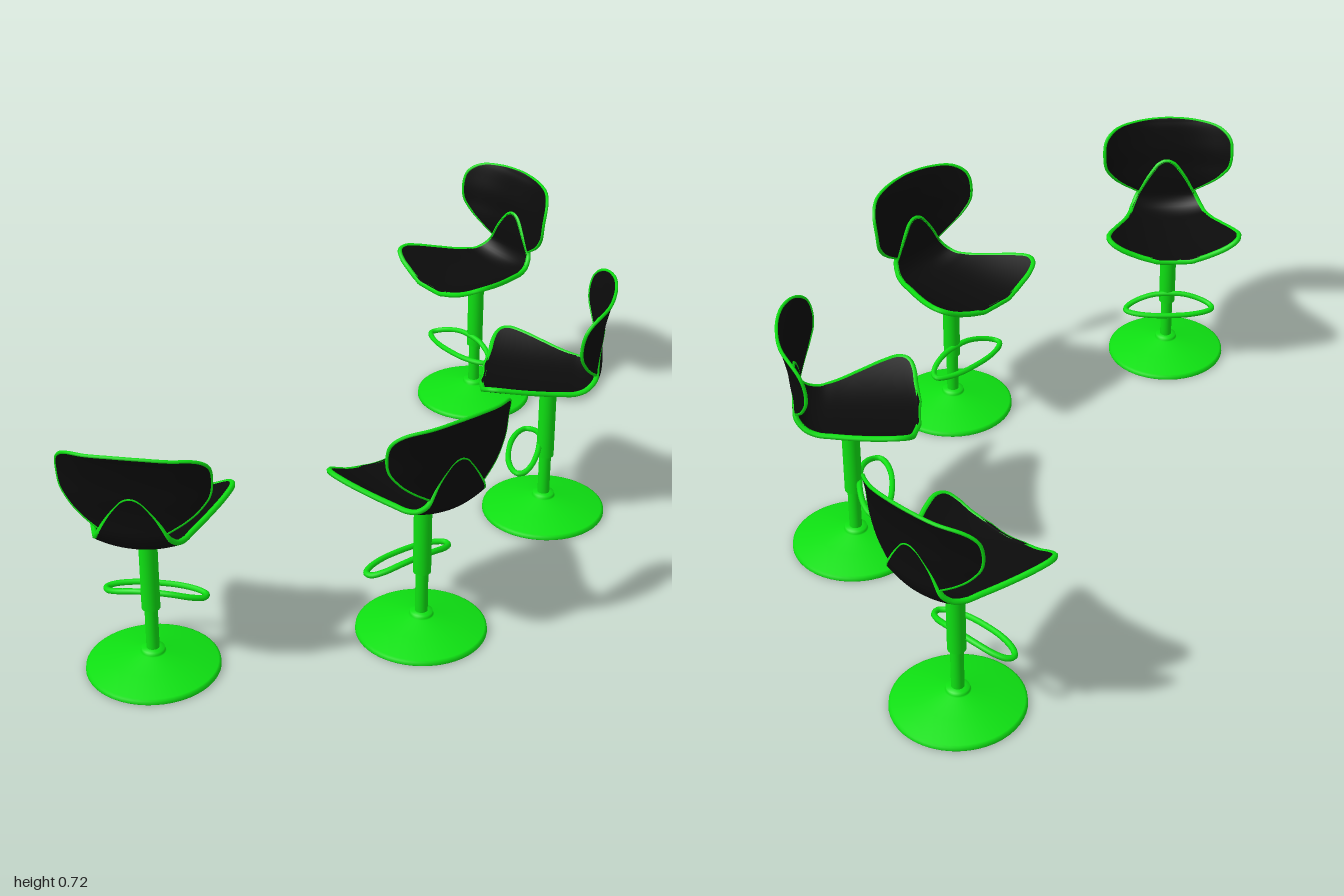
import * as THREE from 'three';

const V = (x, y, z) => new THREE.Vector3(x, y, z);

// Thin curved shell. rows: [z, y, half width] along its spine; lift(x, y) bends the sides along the normal.
function makeShell(rows, thickness, lift, black, green, name) {
  const NU = 56, NV = 24;
  const spine = new THREE.CatmullRomCurve3(rows.map(([z, y, w]) => V(w, y, z)));
  const pts = spine.getSpacedPoints(NU);
  const top = [], bottom = [], mid = [];
  for (let i = 0; i <= NU; i++) {
    const a = pts[Math.max(i - 2, 0)], b = pts[Math.min(i + 2, NU)], p = pts[i];
    const len = Math.hypot(b.y - a.y, b.z - a.z) || 1;
    const n = V(0, (b.z - a.z) / len, -(b.y - a.y) / len);
    for (let j = 0; j <= NV; j++) {
      const x = p.x * (2 * j / NV - 1);
      const m = V(x, p.y, p.z).addScaledVector(n, lift(Math.abs(x), p.y));
      mid.push(m);
      top.push(m.clone().addScaledVector(n, thickness / 2));
      bottom.push(m.clone().addScaledVector(n, -thickness / 2));
    }
  }
  const face = (verts, flip) => {
    const g = new THREE.BufferGeometry().setFromPoints(verts), index = [];
    for (let i = 0; i < NU; i++) for (let j = 0; j < NV; j++) {
      const a = i * (NV + 1) + j, b = a + 1, c = a + NV + 1, d = c + 1;
      if (flip) index.push(a, b, c, b, d, c);
      else index.push(a, c, b, b, c, d);
    }
    g.setIndex(index);
    g.computeVertexNormals();
    return g;
  };
  // Piping around the outline
  const at = (i, j) => mid[i * (NV + 1) + j];
  const loop = [];
  for (let i = 0; i < NU; i++) loop.push(at(i, 0));
  for (let j = 0; j < NV; j += 4) loop.push(at(NU, j));
  for (let i = NU; i > 0; i--) loop.push(at(i, NV));
  for (let j = NV; j > 0; j -= 4) loop.push(at(0, j));
  const rim = new THREE.TubeGeometry(new THREE.CatmullRomCurve3(loop, true), 220, thickness / 2 + 0.0008, 6, true);

  const group = new THREE.Group();
  group.name = name;
  add(group, name + 'Top', face(top, false), black);
  add(group, name + 'Underside', face(bottom, true), black);
  add(group, name + 'Rim', rim, green);
  return group;
}

function add(group, name, geometry, material, y = 0) {
  const mesh = new THREE.Mesh(geometry, material);
  mesh.name = name;
  mesh.position.y = y;
  group.add(mesh);
  return mesh;
}

// One stool, backrest towards +z
function makeStool(black, green) {
  const stool = new THREE.Group();

  // Hollow conical foot
  const foot = [[0.016, 0.038], [0.03, 0.038], [0.17, 0.003], [0.174, 0], [0.175, 0.002], [0.174, 0.011],
    [0.168, 0.014], [0.1, 0.032], [0.034, 0.047], [0.031, 0.05], [0.03, 0.058], [0.016, 0.06]];
  add(stool, 'footDisc', new THREE.LatheGeometry(foot.map(([r, y]) => new THREE.Vector2(r, y)), 48), green);

  // Column
  add(stool, 'lowerColumn', new THREE.CylinderGeometry(0.017, 0.017, 0.19, 24), green, 0.105);
  add(stool, 'upperColumn', new THREE.CylinderGeometry(0.024, 0.024, 0.235, 24), green, 0.2975);

  // Looped footrest
  const half = [[0.05, 0.21, -0.02], [0.1, 0.198, -0.032], [0.127, 0.189, -0.05], [0.131, 0.187, -0.068],
    [0.11, 0.187, -0.085], [0.06, 0.187, -0.1]];
  const ring = [V(0, 0.213, -0.018), ...half.map(p => V(...p)), V(0, 0.187, -0.104),
    ...half.slice().reverse().map(([x, y, z]) => V(-x, y, z))];
  add(stool, 'footrest', new THREE.TubeGeometry(new THREE.CatmullRomCurve3(ring, true), 80, 0.008, 8, true), green);

  // Saddle seat rising into a tongue behind
  const seatRows = [[-0.181, 0.421, 0.02], [-0.18, 0.421, 0.1], [-0.174, 0.42, 0.155], [-0.16, 0.419, 0.183],
    [-0.135, 0.418, 0.192], [-0.09, 0.417, 0.182], [-0.03, 0.417, 0.158], [0.04, 0.418, 0.127],
    [0.085, 0.421, 0.112], [0.12, 0.438, 0.102], [0.138, 0.472, 0.088], [0.137, 0.5, 0.074],
    [0.136, 0.53, 0.057], [0.138, 0.56, 0.036], [0.14, 0.576, 0.022], [0.141, 0.584, 0.006]];
  const seatLift = (x, y) =>
    0.063 * (x / 0.195) ** 2 * (1 - 0.65 * THREE.MathUtils.smoothstep(y, 0.43, 0.5));
  stool.add(makeShell(seatRows, 0.014, seatLift, black, green, 'seat'));

  // Wraparound backrest
  const backRows = [[0.138, 0.475, 0.06], [0.136, 0.502, 0.102], [0.136, 0.52, 0.13], [0.138, 0.545, 0.161],
    [0.142, 0.575, 0.183], [0.146, 0.62, 0.191], [0.154, 0.66, 0.186], [0.16, 0.685, 0.163],
    [0.167, 0.704, 0.1], [0.17, 0.711, 0.05], [0.172, 0.713, 0.01]];
  stool.add(makeShell(backRows, 0.008, x => 0.05 * (x / 0.19) ** 3, black, green, 'backrest'));
  return stool;
}

export function createModel() {
  const black = new THREE.MeshStandardMaterial({ color: 0x0b0b0b });
  black.name = 'black upholstery';
  const green = new THREE.MeshStandardMaterial({ color: 0x0ee012 });
  green.name = 'bright green';

  const model = new THREE.Group();
  model.name = 'barStools';
  const places = [[-0.78, 0.205, -Math.PI / 4], [-0.12, 0.48, 0], [0.54, 0.205, Math.PI / 4], [0.82, -0.458, Math.PI / 2]];
  const stool = makeStool(black, green);
  places.forEach(([x, z, turn], i) => {
    const copy = stool.clone();
    copy.name = 'stool' + (i + 1);
    copy.position.set(x, 0, z);
    copy.rotation.y = turn;
    model.add(copy);
  });
  return model;
}
